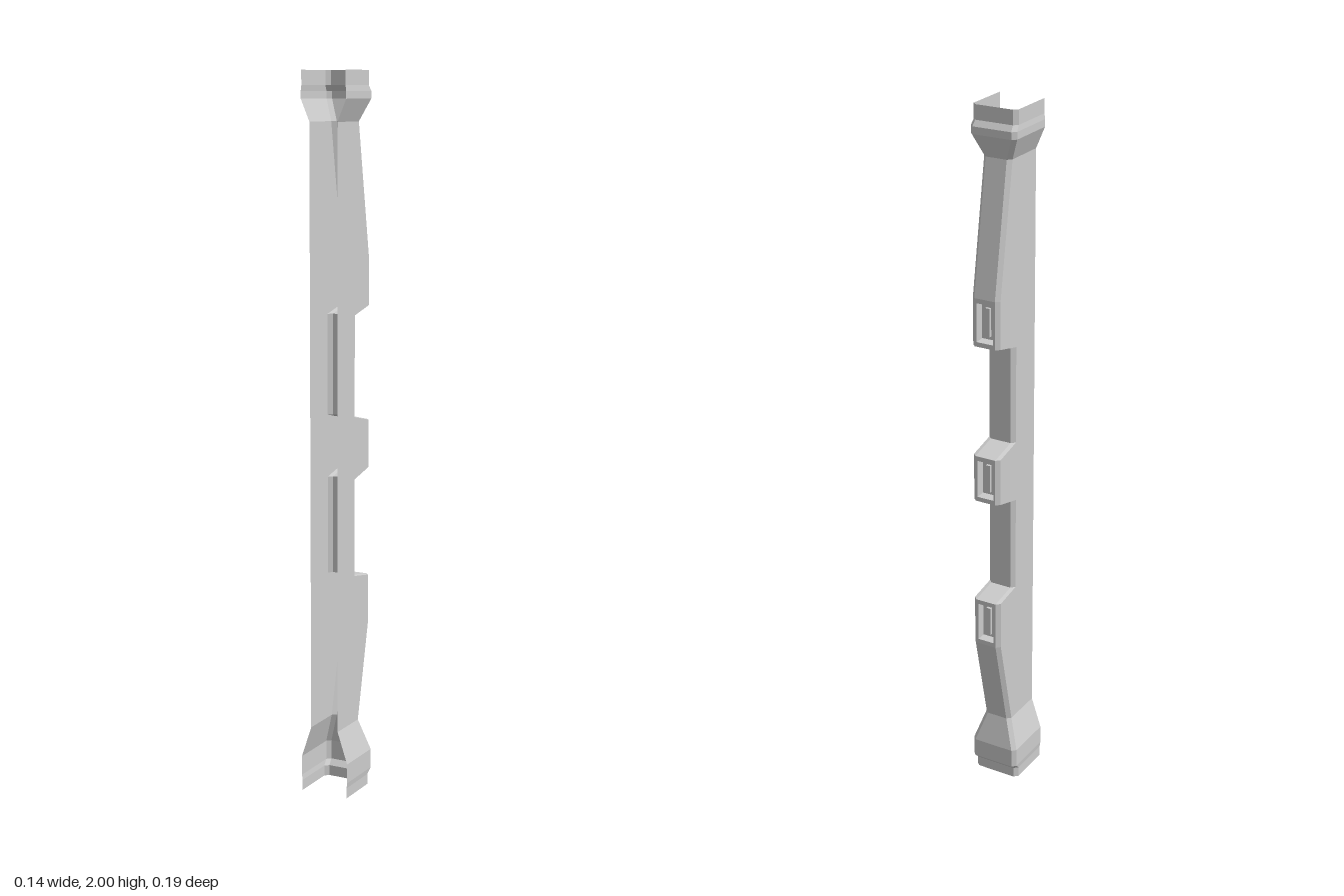
import * as THREE from 'three';

const material = new THREE.MeshStandardMaterial({
  color: 0xcccccc, flatShading: true, side: THREE.DoubleSide,
});
const FRONT = 0.097, CHAMFER = 0.011, W = 0.042, POD = -0.097, WEB = -0.014;

// Collects quads (corners counter-clockwise from outside) into one mesh
function quadMesh(name, quads) {
  const pos = [];
  for (const [a, b, c, d] of quads) pos.push(...a, ...b, ...c, ...a, ...c, ...d);
  const geometry = new THREE.BufferGeometry();
  geometry.setAttribute('position', new THREE.Float32BufferAttribute(pos, 3));
  geometry.computeVertexNormals();
  const mesh = new THREE.Mesh(geometry, material);
  mesh.name = name;
  return mesh;
}

// Open U-shaped section with chamfered back corners
function section([y, w, back]) {
  const c = CHAMFER;
  return [
    [w, y, FRONT], [w, y, back + c], [w - c, y, back],
    [c - w, y, back], [-w, y, back + c], [-w, y, FRONT],
  ];
}

// Heights, half widths and back depths from bottom to top
const stations = [
  [0, 0.07, -0.042], [0.03, 0.07, -0.042], [0.045, 0.072, -0.058],
  [0.1, 0.072, -0.058], [0.19, W, -0.036],
  [0.46, W, POD], [0.6, W, POD],
  [0.615, W, WEB], [0.89, W, WEB],
  [0.91, W, POD], [1.045, W, POD],
  [1.065, W, WEB], [1.345, W, WEB],
  [1.365, W, POD], [1.5, W, POD],
  [1.865, W, -0.036], [1.925, 0.068, -0.058], [1.945, 0.068, -0.058],
  [1.96, 0.066, -0.047], [2, 0.066, -0.047],
];

// Rectangle facing backward
const rect = (hw, y0, y1, z) => [[hw, y0, z], [-hw, y0, z], [-hw, y1, z], [hw, y1, z]];

// Framed pocket in the back face of a pod, with a slim bar on its floor
function createPocket(y0, y1) {
  const pocket = new THREE.Group();
  pocket.name = 'pocket';
  const rings = [
    rect(W - CHAMFER, y0, y1, POD),
    rect(0.025, y0 + 0.013, y1 - 0.013, POD),
    rect(0.021, y0 + 0.018, y1 - 0.018, POD + 0.022),
  ];
  const quads = [rings[2]];
  for (let i = 0; i < 2; i++) {
    for (let j = 0; j < 4; j++) {
      const k = (j + 1) % 4;
      quads.push([rings[i][j], rings[i][k], rings[i + 1][k], rings[i + 1][j]]);
    }
  }
  pocket.add(quadMesh('pocketFrame', quads));

  const bar = new THREE.Mesh(new THREE.BoxGeometry(0.014, y1 - y0 - 0.055, 0.01), material);
  bar.name = 'pocketBar';
  bar.position.set(0, (y0 + y1) / 2, POD + 0.019);
  pocket.add(bar);
  return pocket;
}

export function createModel() {
  const model = new THREE.Group();
  model.name = 'columnCover';
  const quads = [];
  const sections = stations.map(section);

  // Channel walls, leaving the pod backs open for the pockets
  for (let i = 0; i < stations.length - 1; i++) {
    const isPod = stations[i][2] === POD && stations[i + 1][2] === POD;
    for (let j = 0; j < 5; j++) {
      if (isPod && j === 2) continue;
      quads.push([sections[i][j], sections[i][j + 1], sections[i + 1][j + 1], sections[i + 1][j]]);
    }
    if (isPod) model.add(createPocket(stations[i][0], stations[i + 1][0]));
  }
  model.add(quadMesh('channelShell', quads));
  return model;
}
